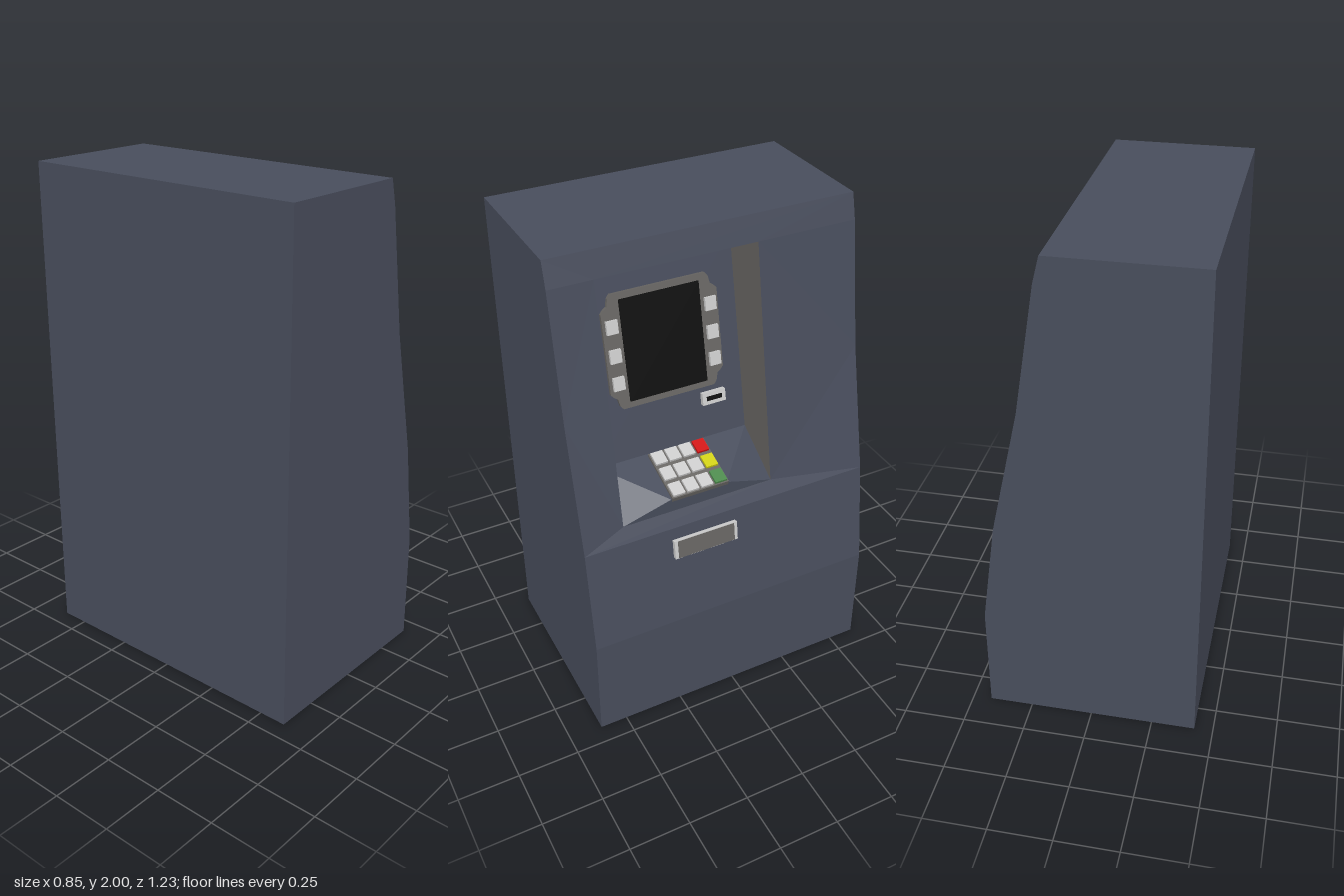
import * as THREE from 'three';

const mat = (color) => new THREE.MeshStandardMaterial({ color, flatShading: true });
const body = mat(0x484d5c), trim = mat(0x676562), light = mat(0xcccccc), black = mat(0x0e0e0e);
const red = mat(0xd01010), yellow = mat(0xcfcf10), green = mat(0x4c8a4c);

// Mesh from flat polygons, each a counter-clockwise loop of [x, y, z]
function polyMesh(name, material, polys) {
  const pos = [];
  for (const p of polys)
    for (let i = 1; i < p.length - 1; i++) pos.push(...p[0], ...p[i], ...p[i + 1]);
  const g = new THREE.BufferGeometry();
  g.setAttribute('position', new THREE.Float32BufferAttribute(pos, 3));
  g.computeVertexNormals();
  const m = new THREE.Mesh(g, material);
  m.name = name;
  return m;
}

// Group on a leaning face towards +x: local x runs to -z, local y up the face, local z outward
function faceGroup(name, x, y, z, lean) {
  const g = new THREE.Group();
  g.name = name;
  g.position.set(x, y, z);
  g.rotation.set(-lean, Math.PI / 2, 0, 'YXZ');
  return g;
}

function addBox(parent, name, material, w, h, d, x, y, z) {
  const m = new THREE.Mesh(new THREE.BoxGeometry(w, h, d), material);
  m.name = name;
  m.position.set(x, y, z);
  parent.add(m);
  return m;
}

export function createModel() {
  const root = new THREE.Group();
  root.name = 'cashMachine';

  // Cabinet side profile, and the corners of the recess
  const W = 0.613;
  const profile = [[-0.425, 0], [0.425, 0], [0.425, 0.45], [0.365, 0.88],
    [0.25, 1.4], [0.17, 1.9], [0.145, 2], [-0.425, 2]];
  const L = profile.map(([x, y]) => [x, y, W]);
  const R = profile.map(([x, y]) => [x, y, -W]);
  const z0 = 0.44, z1 = -0.2;
  const A = [0.335, 0.94, z0], B = [0.335, 0.94, z1], C = [0.17, 1.9, z1], D = [0.17, 1.9, z0];
  const K1 = [0.338, 1.0, 0.24], K2 = [0.338, 1.0, 0];
  const A2 = [0.12, 1.07, z0], B2 = [0.12, 1.07, z1], C2 = [-0.04, 1.85, z1], D2 = [-0.04, 1.85, z0];

  // Shell: sides, plain strips, then the front frame around the recess
  const shell = [L, [R[0], ...R.slice(1).reverse()]];
  for (const i of [0, 1, 2, 6, 7]) {
    const j = (i + 1) % 8;
    shell.push([L[i], R[i], R[j], L[j]]);
  }
  shell.push(
    [L[3], A, L[4]], [L[4], A, D], [L[4], D, L[5]], [L[5], D, L[6]],
    [B, R[3], R[4]], [B, R[4], C], [C, R[4], R[5]], [C, R[5], R[6]],
    [D, C, R[6], L[6]], [L[3], R[3], B, A], [A, B, K2, K1]);
  root.add(polyMesh('cabinet', body, shell));

  // Recess
  root.add(polyMesh('recessBack', body, [[A2, B2, C2, D2]]));
  root.add(polyMesh('shelf', body, [[K1, K2, B2, A2], [A, K1, A2], [K2, B, B2]]));
  root.add(polyMesh('recessWalls', trim, [[B, C, C2, B2], [A, A2, D2, D], [D, D2, C2, C]]));

  // Screen with stepped bezel and side buttons
  const lean = Math.atan2(0.16, 0.78), up = 1 / Math.cos(lean);
  const screen = faceGroup('screenUnit', 0.03, 1.505, 0.12, lean);
  const quarter = [[0.238, 0.155], [0.226, 0.168], [0.212, 0.178], [0.205, 0.208], [0.193, 0.222]];
  const mirrored = quarter.slice().reverse();
  const outline = [
    ...quarter, ...mirrored.map(([x, y]) => [-x, y]),
    ...quarter.map(([x, y]) => [-x, -y]), ...mirrored.map(([x, y]) => [x, -y]),
  ].map(([x, y]) => new THREE.Vector2(x, y * up));
  const bezel = new THREE.Mesh(
    new THREE.ExtrudeGeometry(new THREE.Shape(outline), { depth: 0.015, bevelEnabled: false }), trim);
  bezel.name = 'bezel';
  screen.add(bezel);
  addBox(screen, 'screen', black, 0.328, 0.395 * up, 0.008, 0, 0, 0.015);
  for (const s of [-1, 1])
    for (const y of [0.103, -0.008, -0.115])
      addBox(screen, 'screenButton', light, 0.046, 0.052, 0.02, s * 0.203, y * up, 0.018);

  // Card reader
  addBox(screen, 'cardReader', light, 0.1, 0.05, 0.02, 0.186, -0.272 * up, 0.01);
  addBox(screen, 'cardSlot', black, 0.066, 0.018, 0.006, 0.186, -0.272 * up, 0.019);
  root.add(screen);

  // Keypad: four rows of three keys, the last row coloured
  const slope = Math.atan2(0.07, 0.218);
  const pad = faceGroup('keypad', 0.235, 1.033, 0.116, Math.PI / 2 - slope);
  addBox(pad, 'keypadPlate', trim, 0.242, 0.225, 0.02, 0, 0, 0);
  const coloured = [green, yellow, red];
  for (let row = 0; row < 4; row++)
    for (let col = 0; col < 3; col++)
      addBox(pad, 'key', row === 3 ? coloured[col] : light,
        0.05, 0.058, 0.014, -0.09 + row * 0.06, (col - 1) * 0.078, 0.013);
  root.add(pad);

  // Cash slot on the lower front
  const slot = faceGroup('cashSlot', 0.376, 0.79, 0.116, Math.atan2(0.06, 0.43));
  addBox(slot, 'slotFrame', light, 0.274, 0.08, 0.03, 0, 0, 0.004);
  addBox(slot, 'slotDoor', trim, 0.246, 0.076, 0.006, 0, 0, 0.018);
  root.add(slot);

  return root;
}
